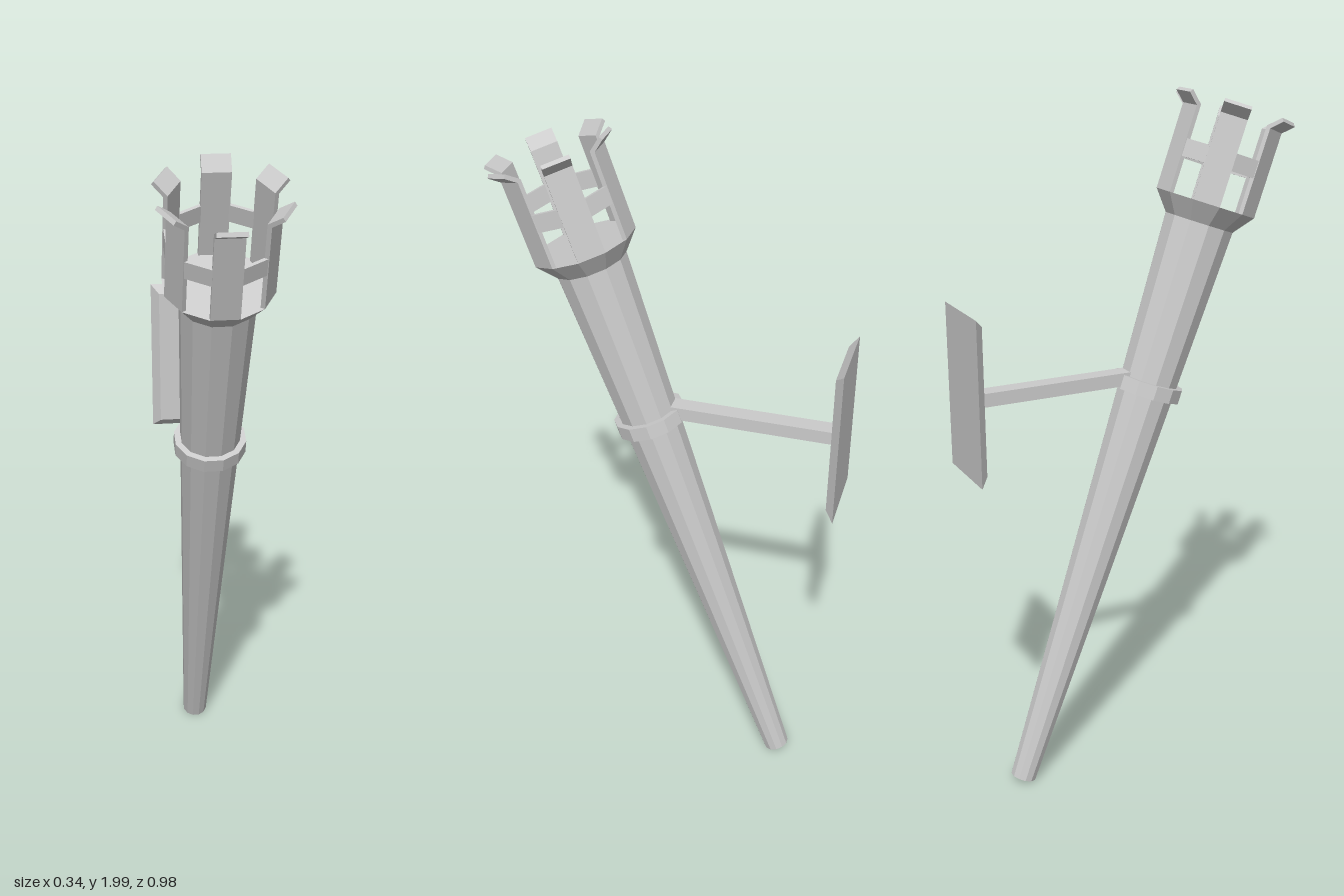
import * as THREE from 'three';

const SIDES = 12;
const HALF = Math.PI / SIDES; // puts a flat facet at the front

export function createModel() {
  const group = new THREE.Group();
  const material = new THREE.MeshStandardMaterial({ color: 0xcccccc, flatShading: true });
  const add = (parent, name, geometry, x = 0, y = 0, z = 0) => {
    const mesh = new THREE.Mesh(geometry, material);
    mesh.name = name;
    mesh.position.set(x, y, z);
    parent.add(mesh);
    return mesh;
  };
  const drum = (top, bottom, height) =>
    new THREE.CylinderGeometry(top, bottom, height, SIDES, 1, false, HALF);

  // Leaning torch, built upright from its lower tip
  const torch = new THREE.Group();
  torch.name = 'torch';
  torch.position.set(0, 0.013, -0.349);
  torch.rotation.x = THREE.MathUtils.degToRad(19.5);
  group.add(torch);

  const stemTop = 1.715, rim = 1.77, cupRadius = 0.145;
  add(torch, 'stem', drum(0.1, 0.038, stemTop), 0, stemTop / 2);
  add(torch, 'collar', drum(0.101, 0.101, 0.04), 0, 1.234);
  add(torch, 'cupBase', drum(cupRadius, 0.1, rim - stemTop), 0, (rim + stemTop) / 2);

  // Thin band tying the prongs together
  const outer = cupRadius - 0.002, inner = cupRadius - 0.012;
  const bandProfile = [[inner, 0.1], [outer, 0.1], [outer, 0.148], [inner, 0.148], [inner, 0.1]]
    .map(([r, y]) => new THREE.Vector2(r, y));
  add(torch, 'cupBand', new THREE.LatheGeometry(bandProfile, SIDES, HALF), 0, rim);

  // Six prongs on alternate facets, with tips bent outwards
  const face = cupRadius * Math.cos(HALF);
  const width = 2 * cupRadius * Math.sin(HALF);
  const t = 0.012;
  const prongShape = new THREE.Shape([
    [face - t, 0], [face, 0], [face, 0.238], [face + 0.032, 0.264],
    [face + 0.025, 0.273], [face - t, 0.243],
  ].map(([r, y]) => new THREE.Vector2(r, y)));
  const prong = new THREE.ExtrudeGeometry(prongShape, { depth: width, bevelEnabled: false });
  prong.translate(0, 0, -width / 2).rotateY(-Math.PI / 2);
  for (let i = 0; i < 6; i++) {
    add(torch, 'prong', prong, 0, rim).rotation.y = i * Math.PI / 3;
  }

  // Horizontal arm from the stem to the wall plate
  add(group, 'arm', new THREE.BoxGeometry(0.05, 0.038, 0.495), 0, 1.214, -0.2175);

  // Wall plate with a bevelled front
  const plate = new THREE.BoxGeometry(0.226, 0.46, 0.024);
  const p = plate.attributes.position;
  for (let i = 0; i < p.count; i++) {
    if (p.getZ(i) > 0) {
      p.setX(i, Math.sign(p.getX(i)) * 0.09);
      p.setY(i, Math.sign(p.getY(i)) * 0.206);
    }
  }
  plate.computeVertexNormals();
  add(group, 'wallPlate', plate, 0, 1.23, -0.475);

  return group;
}
